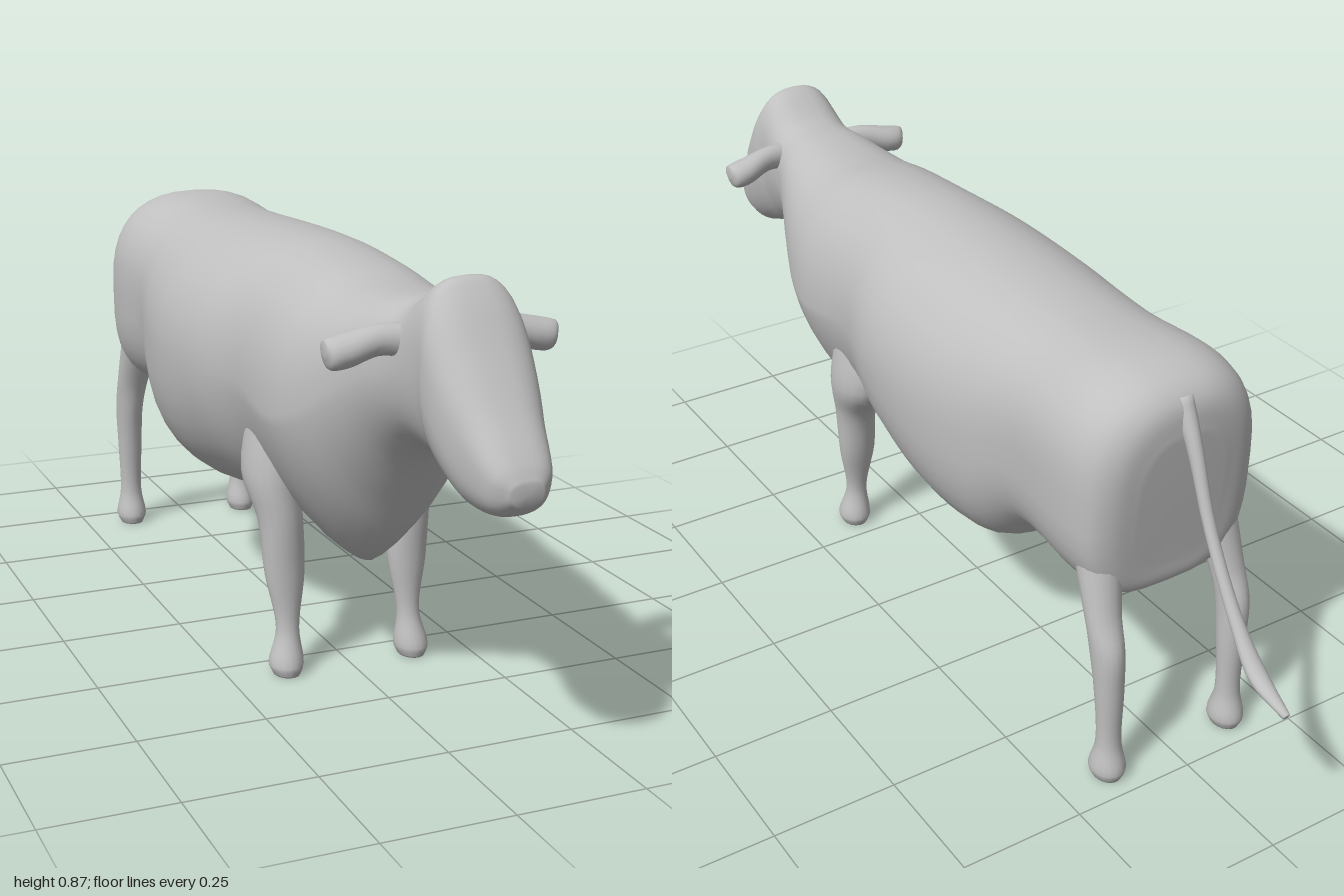
import * as THREE from 'three';

const hide = new THREE.MeshStandardMaterial({ color: 0xc0c0c0 });
hide.name = 'plain grey';

// Smooth skin through rings of points (counter-clockwise about the direction of travel), capped at both ends.
function loft(rings, perRing = 5) {
  const m = rings[0].length, n = (rings.length - 1) * perRing;
  const columns = rings[0].map((_, j) => new THREE.CatmullRomCurve3(rings.map(r => r[j])));
  const pos = [], idx = [];
  for (let i = 0; i <= n; i++) {
    for (const column of columns) pos.push(...column.getPoint(i / n).toArray());
  }
  for (let i = 0; i < n; i++) {
    for (let j = 0; j < m; j++) {
      const a = i * m + j, b = i * m + (j + 1) % m;
      idx.push(a, b, a + m, b, b + m, a + m);
    }
  }
  for (const i of [0, n]) {
    const c = pos.length / 3, mid = new THREE.Vector3();
    rings[i / perRing].forEach(p => mid.addScaledVector(p, 1 / m));
    pos.push(mid.x, mid.y, mid.z);
    for (let j = 0; j < m; j++) {
      const a = i * m + j, b = i * m + (j + 1) % m;
      if (i) idx.push(a, b, c); else idx.push(b, a, c);
    }
  }
  const g = new THREE.BufferGeometry();
  g.setAttribute('position', new THREE.Float32BufferAttribute(pos, 3));
  g.setIndex(idx);
  g.computeVertexNormals();
  return g;
}

// Elliptical ring: centre c, half axes u and v.
function ellipse(c, u, v, m = 18) {
  return Array.from({ length: m }, (_, j) => {
    const t = j / m * Math.PI * 2;
    return new THREE.Vector3(...c)
      .addScaledVector(new THREE.Vector3(...u), Math.cos(t))
      .addScaledVector(new THREE.Vector3(...v), Math.sin(t));
  });
}

// Body ring: the back squares off toward both ends, the underside is a keel at the brisket and fuller away from it.
function bodyRing([zt, yt, zb, yb, w]) {
  const m = 40, wide = 0.54;
  const top = 2 / (2 + 0.8 * Math.abs(zt)), bottom = 2 / (1.4 + 1.8 * Math.abs(zt - 0.38));
  return Array.from({ length: m }, (_, j) => {
    const t = j / m * Math.PI * 2, c = Math.cos(t), s = Math.sin(t);
    const k = s > 0 ? wide + (1 - wide) * Math.pow(s, top) : wide - wide * Math.pow(-s, bottom);
    const x = w * Math.sign(c) * Math.pow(Math.abs(c), s > 0 ? top : bottom);
    return new THREE.Vector3(x, yb + (yt - yb) * k, zb + (zt - zb) * k);
  });
}

// Rump to muzzle: z and y of the back, z and y of the underside, half width.
const trunk = [
  [-0.69, 0.70, -0.665, 0.43, 0.09],
  [-0.682, 0.765, -0.66, 0.385, 0.145],
  [-0.65, 0.80, -0.645, 0.37, 0.18],
  [-0.58, 0.82, -0.58, 0.37, 0.20],
  [-0.40, 0.815, -0.40, 0.37, 0.20],
  [-0.27, 0.818, -0.27, 0.275, 0.226],
  [-0.12, 0.825, -0.12, 0.26, 0.245],
  [0.06, 0.832, 0.06, 0.28, 0.238],
  [0.2, 0.832, 0.2, 0.287, 0.207],
  [0.38, 0.815, 0.39, 0.24, 0.203],
  [0.46, 0.803, 0.48, 0.305, 0.185],
  [0.54, 0.802, 0.55, 0.41, 0.157],
  [0.62, 0.808, 0.62, 0.51, 0.125],
  [0.69, 0.815, 0.68, 0.548, 0.102],
  [0.778, 0.868, 0.775, 0.54, 0.094],
  [0.81, 0.843, 0.81, 0.526, 0.098],
  [0.87, 0.757, 0.852, 0.512, 0.092],
  [0.925, 0.68, 0.89, 0.50, 0.077],
  [0.985, 0.602, 0.96, 0.508, 0.055],
  [1.0, 0.573, 0.997, 0.535, 0.028]
];

// Leg profiles, top to bottom: x, y, z, half width, half depth.
const frontLegRings = [
  [0.12, 0.56, 0.25, 0.05, 0.07],
  [0.145, 0.4, 0.253, 0.053, 0.075],
  [0.136, 0.31, 0.285, 0.044, 0.046],
  [0.131, 0.2, 0.295, 0.04, 0.031],
  [0.13, 0.09, 0.308, 0.023, 0.021],
  [0.135, 0.02, 0.313, 0.034, 0.039],
  [0.135, 0, 0.315, 0.026, 0.033]
];
const hindLegRings = [
  [0.125, 0.5, -0.6, 0.05, 0.05],
  [0.142, 0.36, -0.65, 0.036, 0.032],
  [0.145, 0.29, -0.672, 0.031, 0.037],
  [0.143, 0.2, -0.681, 0.028, 0.029],
  [0.142, 0.08, -0.685, 0.025, 0.024],
  [0.142, 0.02, -0.684, 0.034, 0.039],
  [0.142, 0, -0.683, 0.026, 0.033]
];

// Ear profile, root to tip: x, y, z, half height, half depth.
const earRings = [
  [0.06, 0.745, 0.70, 0.03, 0.025],
  [0.12, 0.75, 0.692, 0.026, 0.023],
  [0.18, 0.735, 0.685, 0.029, 0.031],
  [0.208, 0.732, 0.685, 0.026, 0.027],
  [0.219, 0.742, 0.687, 0.013, 0.013]
];

// Tail, root to tip: y, z, half width, half thickness.
const tailRings = [
  [0.77, -0.66, 0.022, 0.022],
  [0.7, -0.7, 0.015, 0.016],
  [0.55, -0.763, 0.012, 0.011],
  [0.4, -0.855, 0.014, 0.012],
  [0.33, -0.92, 0.019, 0.014],
  [0.298, -0.997, 0.008, 0.007]
];

export function createModel() {
  const cow = new THREE.Group();
  cow.name = 'cow';
  const add = (name, geometry) => {
    const mesh = new THREE.Mesh(geometry, hide);
    mesh.name = name;
    cow.add(mesh);
    return mesh;
  };

  add('bodyAndHead', loft(trunk.map(bodyRing)));

  for (const [side, label] of [[1, 'left'], [-1, 'right']]) {
    const leg = rows => loft(rows.map(([x, y, z, rx, rz]) => ellipse([side * x, y, z], [rx, 0, 0], [0, 0, rz])));
    add(label + 'FrontLeg', leg(frontLegRings));
    add(label + 'HindLeg', leg(hindLegRings));

    // flattened, slightly tilted ear
    add(label + 'Ear', loft(earRings.map(([x, y, z, ry, rz]) => {
      const up = [0, ry, -rz * 0.35], fore = [0, ry * 0.3, rz];
      return side > 0 ? ellipse([x, y, z], up, fore) : ellipse([-x, y, z], fore, up);
    })));

    // teats
    for (const z of [-0.4, -0.49]) {
      const teat = add(label + 'Teat', new THREE.CapsuleGeometry(0.011, 0.02, 4, 10));
      teat.position.set(side * 0.04, 0.372, z);
    }
  }

  // udder
  const udder = add('udder', new THREE.SphereGeometry(1, 24, 16));
  udder.scale.set(0.09, 0.05, 0.12);
  udder.position.set(0, 0.415, -0.45);

  // tail hanging back in a curve
  add('tail', loft(tailRings.map(([y, z, rx, r], i) => {
    const a = tailRings[Math.max(i - 1, 0)], b = tailRings[Math.min(i + 1, tailRings.length - 1)];
    const d = new THREE.Vector2(b[0] - a[0], b[1] - a[1]).normalize();
    return ellipse([0, y, z], [rx, 0, 0], [0, d.y * r, -d.x * r], 14);
  })));

  return cow;
}
